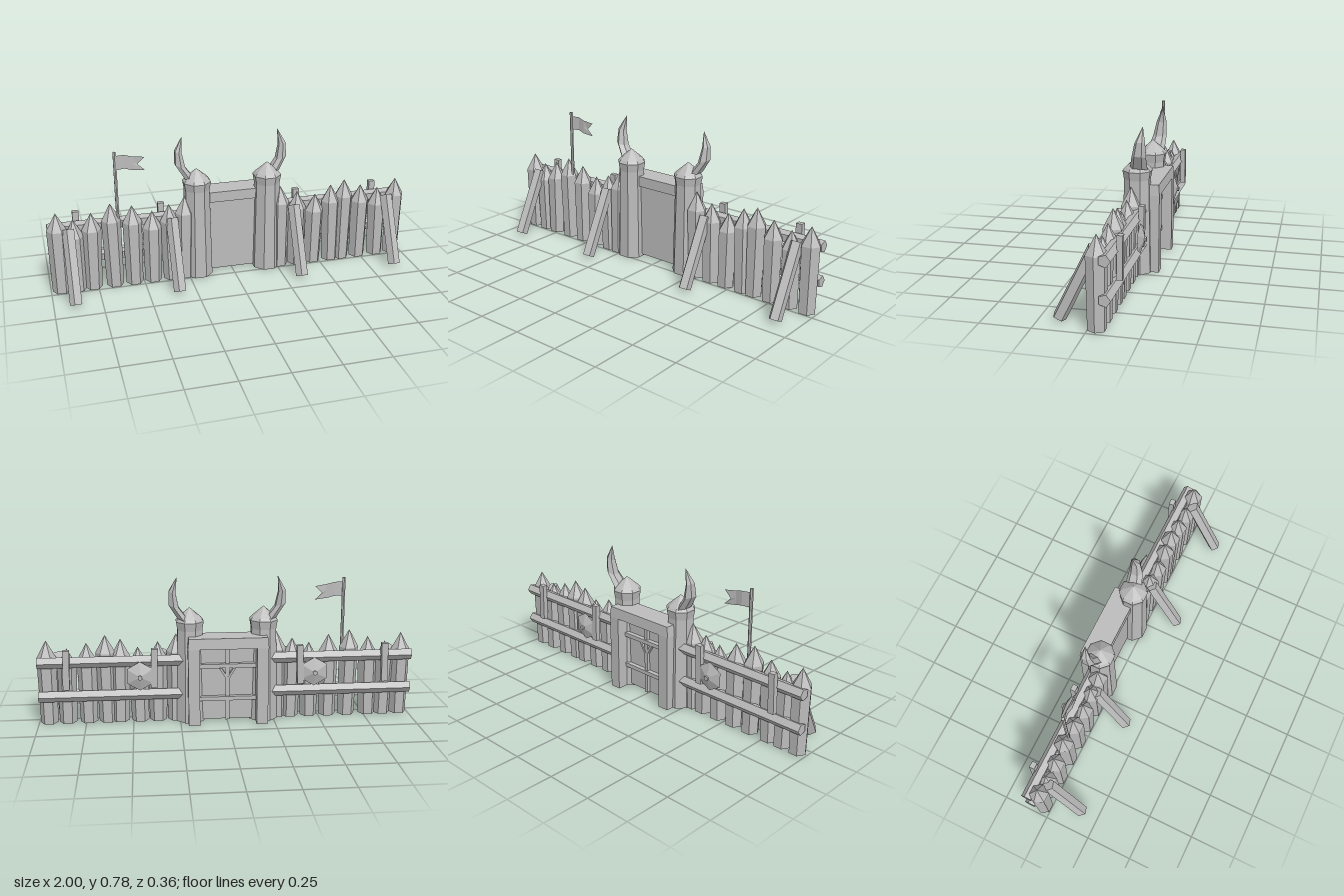
import * as THREE from 'three';

const stone = new THREE.MeshStandardMaterial({ color: 0xbcbcbc, flatShading: true, side: THREE.DoubleSide });
stone.name = 'plain grey';

export function createModel() {
  const root = new THREE.Group();
  root.name = 'palisadeGate';

  const add = (name, geo, x = 0, y = 0, z = 0) => {
    const m = new THREE.Mesh(geo, stone);
    m.name = name;
    m.position.set(x, y, z);
    root.add(m);
    return m;
  };
  const box = (name, x0, x1, y0, y1, z0, z1) =>
    add(name, new THREE.BoxGeometry(x1 - x0, y1 - y0, z1 - z0), (x0 + x1) / 2, (y0 + y1) / 2, (z0 + z1) / 2);
  const lathe = (profile, sides, start) =>
    new THREE.LatheGeometry(profile.map(([r, y]) => new THREE.Vector2(r, y)), sides, start);

  // Sharpened wall stakes: x, tip height
  const stakes = [
    [-0.946, 0.45], [-0.86, 0.405], [-0.765, 0.432], [-0.663, 0.473],
    [-0.55, 0.45], [-0.444, 0.408], [-0.353, 0.434], [-0.267, 0.473],
    [0.267, 0.473], [0.364, 0.432], [0.47, 0.405], [0.56, 0.45],
    [0.64, 0.473], [0.738, 0.432], [0.84, 0.405], [0.946, 0.45],
  ];
  stakes.forEach(([x, h], i) => {
    const profile = [[0, 0], [0.046, 0], [0.052, h - 0.094], [0, h]];
    const geo = lathe(profile, 6, Math.PI / 2);
    // Each stake leans a little: the foot moves, the tip stays
    const lean = Math.abs(x) > 0.9 ? 0 : 0.008 * Math.sin(i * 2.4);
    const p = geo.attributes.position;
    for (let k = 0; k < p.count; k++) p.setX(k, p.getX(k) + lean * (1 - p.getY(k) / h));
    add('wallStake', geo, x, 0, -0.042);
  });

  // Horn: a cylinder bent along rings of [x, y, z, half width x, half width z]
  const hornRings = [
    [0.228, 0.555, -0.073, 0.036, 0.046],
    [0.278, 0.63, -0.084, 0.03, 0.037],
    [0.285, 0.705, -0.091, 0.02, 0.027],
    [0.262, 0.782, -0.101, 0.001, 0.001],
  ];
  const hornGeometry = (s) => {
    const geo = new THREE.CylinderGeometry(1, 1, 1, 6, 3);
    const p = geo.attributes.position;
    for (let k = 0; k < p.count; k++) {
      const [cx, cy, cz, rx, rz] = hornRings[Math.round((p.getY(k) + 0.5) * 3)];
      const out = p.getX(k) * s;
      p.setXYZ(k, s * cx + p.getX(k) * rx, cy + out * rx * 0.3, cz + p.getZ(k) * rz);
    }
    geo.computeVertexNormals();
    return geo;
  };

  for (const s of [-1, 1]) {
    // Gate tower with flared cap and pointed roof
    const tower = [[0, 0], [0.08, 0], [0.07, 0.5], [0.078, 0.545], [0.066, 0.56], [0, 0.617]];
    add('gateTower', lathe(tower, 8, Math.PI / 8), s * 0.195, 0, -0.06);
    add('towerHorn', hornGeometry(s));

    // Five-sided rails along the back of the wall
    for (const y of [0.158, 0.342]) {
      const rail = add('wallRail', new THREE.CylinderGeometry(0.031, 0.031, 0.785, 5), s * 0.6, y, -0.087);
      rail.rotation.set(Math.PI, 0, Math.PI / 2);
      rail.rotation.order = 'XYZ';
    }

    // Upright battens behind the rails
    for (const x of [0.385, 0.84]) {
      const batten = box('backBatten', s * x - 0.017, s * x + 0.017, 0.205, 0.415, -0.138, -0.11);
      batten.rotation.z = 0.03 * s;
    }

    // Shield with boss
    const shield = add('shield', new THREE.CylinderGeometry(0.012, 0.078, 0.022, 6), s * 0.46, 0.27, -0.144);
    shield.rotation.x = -Math.PI / 2;
    const boss = add('shieldBoss', new THREE.CylinderGeometry(0.013, 0.013, 0.012, 6), s * 0.46, 0.268, -0.158);
    boss.rotation.x = Math.PI / 2;

    // Slanted props at the front, flat side towards +x
    for (const x of [0.34, 0.885]) {
      const geo = new THREE.CylinderGeometry(0.034, 0.034, 0.39, 5);
      geo.rotateY(-Math.PI / 2);
      const prop = add('wallProp', geo, s * x, 0.188, 0.068);
      prop.rotation.x = -Math.atan2(0.18, 0.37);
    }

    // Gate frame posts
    box('gatePost', s * 0.18 - 0.03, s * 0.18 + 0.03, 0, 0.416, -0.177, -0.06);
    // Small braces on the back of the door
    const brace = box('doorBrace', s * 0.02 - 0.006, s * 0.02 + 0.006, 0.235, 0.3, -0.12, -0.1);
    brace.rotation.z = -s * 0.55;
  }

  // Gate lintel, narrower at the top
  const lintelGeo = new THREE.BoxGeometry(0.424, 0.057, 0.133);
  const lp = lintelGeo.attributes.position;
  for (let k = 0; k < lp.count; k++) {
    if (lp.getY(k) < 0) continue;
    lp.setX(k, lp.getX(k) * 0.97);
    if (lp.getZ(k) < 0) lp.setZ(k, lp.getZ(k) + 0.005);
  }
  add('gateLintel', lintelGeo, 0, 0.444, -0.1115);

  // Door with cross bars on its back
  box('gateDoor', -0.16, 0.16, 0.01, 0.42, -0.1, -0.06);
  box('doorUpright', -0.01, 0.01, 0.01, 0.416, -0.118, -0.098);
  for (const y of [0.13, 0.31]) box('doorBar', -0.15, 0.15, y - 0.011, y + 0.011, -0.125, -0.098);

  // Flag pole
  add('flagPole', new THREE.CylinderGeometry(0.009, 0.009, 0.455, 6), -0.625, 0.5275, -0.036);

  // Waving swallow-tailed flag: columns of [x, top, bottom, z]
  const columns = [
    [-0.62, 0.734, 0.657, -0.036],
    [-0.575, 0.733, 0.658, -0.045],
    [-0.535, 0.722, 0.647, -0.04],
    [-0.47, 0.712, 0.64, -0.046],
  ];
  const verts = [];
  columns.forEach(([x, top, bottom, z], i) => {
    const midX = i === 3 ? -0.508 : x;
    verts.push(x, top, z, midX, (top + bottom) / 2, z, x, bottom, z);
  });
  const faces = [];
  for (let i = 0; i < 3; i++) {
    for (let j = 0; j < 2; j++) {
      const a = i * 3 + j;
      faces.push(a, a + 1, a + 4, a, a + 4, a + 3);
    }
  }
  const flag = new THREE.BufferGeometry();
  flag.setAttribute('position', new THREE.Float32BufferAttribute(verts, 3));
  flag.setIndex(faces);
  flag.computeVertexNormals();
  add('flag', flag);

  return root;
}
